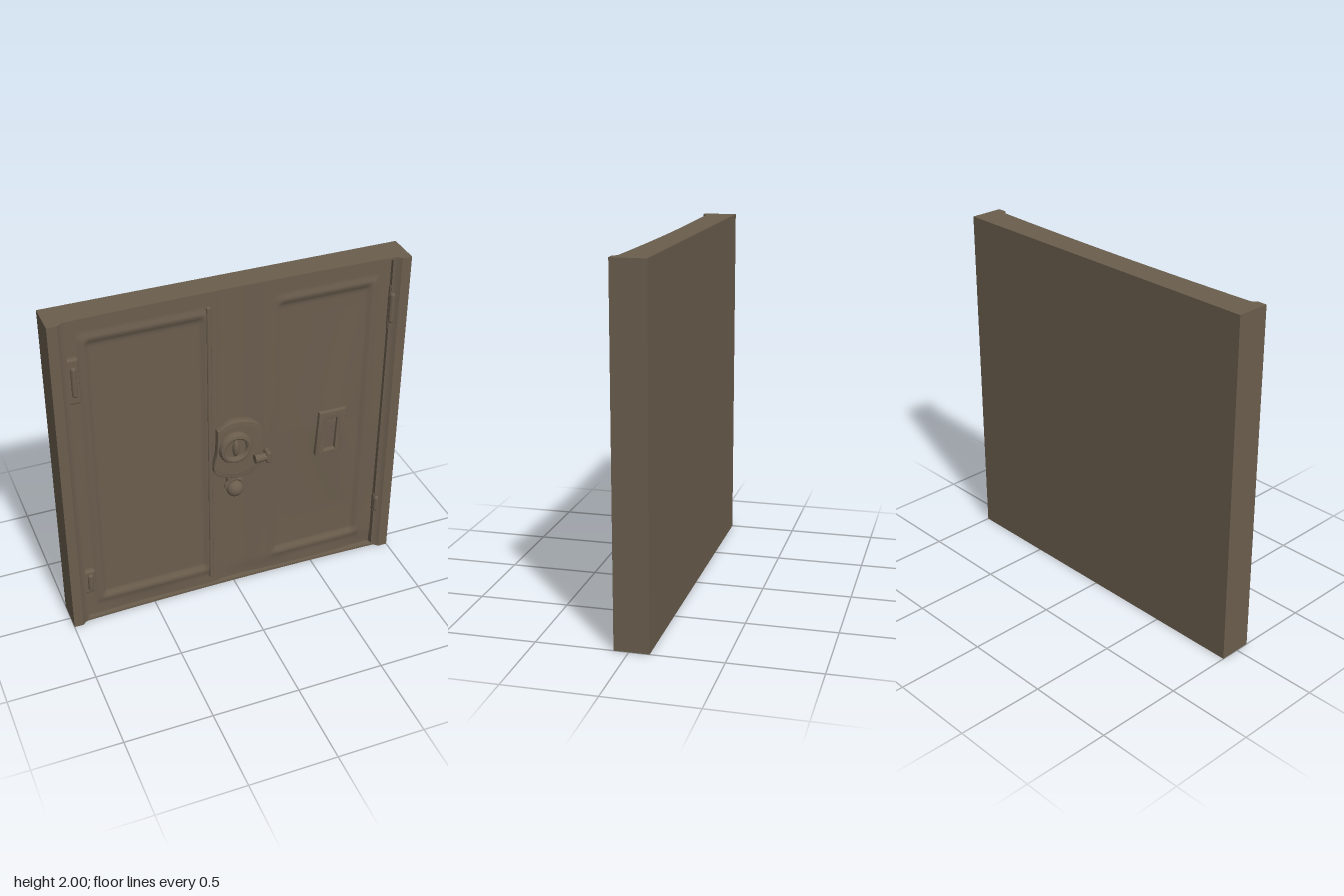
import * as THREE from 'three';
import { RoundedBoxGeometry } from 'three/addons/geometries/RoundedBoxGeometry.js';
import { toCreasedNormals } from 'three/addons/utils/BufferGeometryUtils.js';

const bronze = new THREE.MeshStandardMaterial({ color: 0x6a5d4d });
bronze.name = 'dull bronze';

const V = (x, y) => new THREE.Vector2(x, y);
const step = THREE.MathUtils.smoothstep;

// 1 inside a rectangle, 0 outside, with soft edges of width e
const inside = (x, y, x0, x1, y0, y1, e) =>
  step(x, x0, x0 + e) * (1 - step(x, x1 - e, x1)) * step(y, y0, y0 + e) * (1 - step(y, y1 - e, y1));

// Raised moulding with a sunken panel inside it
const moulding = (x, y, x0, x1, y0, y1) =>
  0.009 * inside(x, y, x0 - 0.04, x1 + 0.04, y0 - 0.04, y1 + 0.04, 0.03) -
  0.017 * inside(x, y, x0, x1, y0, y1, 0.03);

// Height of the door leaves
function relief(x, y) {
  let z = 0.028;
  if (x < -0.125) {
    z += moulding(x, y, -0.81, -0.155, 0.13, 1.86);
  } else {
    // centre strip, then a slope up to the other leaf
    z += -0.012 + 0.02 * step(x, 0.04, 0.2) * (0.6 + 0.4 * step(y, 0.1, 1.2));
    z += 0.008 * (1 - step(x, -0.1, -0.07));
    if (x > 0.2) z += moulding(x, y, 0.24, 0.8, 0.13, 1.86) * step(x, 0.2, 0.3);
    // swelling that tapers above and below the pull
    const up = y > 1.0 ? 1 - (y - 1.0) / 0.75 : 1 - (1.0 - y) / 0.62;
    if (up > 0) {
      const ridge = y > 1.0 ? 0.62 + 0.1 * (1 - up) : 0.62 + 0.09 * (1 - up);
      const d = x - ridge;
      z += 0.02 * up * Math.max(0, 1 - Math.abs(d) / (d < 0 ? 0.36 : 0.13));
    }
  }
  // soft dents along the foot
  z -= 0.008 * (1 - step(y, 0.02, 0.12)) * (0.5 + 0.5 * Math.sin(x * 9));
  return z;
}

function reliefGeometry() {
  const g = new THREE.PlaneGeometry(1.86, 1.97, 150, 110);
  g.translate(0, 1, 0);
  const p = g.attributes.position;
  for (let i = 0; i < p.count; i++) p.setZ(i, relief(p.getX(i), p.getY(i)));
  g.computeVertexNormals();
  return g;
}

export function createModel() {
  const group = new THREE.Group();
  const add = (name, geo, x = 0, y = 0, z = 0) => {
    const m = new THREE.Mesh(geo, bronze);
    m.name = name;
    m.position.set(x, y, z);
    group.add(m);
    return m;
  };
  const extrude = (shape, depth, bevel = 0) => toCreasedNormals(new THREE.ExtrudeGeometry(shape, {
    depth, curveSegments: 16, bevelEnabled: bevel > 0, bevelSize: bevel, bevelThickness: bevel, bevelSegments: 3,
  }), 0.6);

  // Back slab and door leaves
  add('backSlab', new THREE.BoxGeometry(2, 2, 0.11), 0, 1, -0.055);
  add('doorLeaves', reliefGeometry());

  // Side posts with a chamfered inner edge
  for (const s of [-1, 1]) {
    const pts = [V(1, 0.105), V(1, -0.08), V(0.945, -0.08), V(0.925, -0.06), V(0.905, -0.055), V(0.9, 0), V(0.9, 0.105)]
      .map((p) => V(p.x * s, p.y));
    add(s < 0 ? 'rightPost' : 'leftPost', extrude(new THREE.Shape(pts), 2).rotateX(-Math.PI / 2));
  }

  // Top and bottom rails, bowed inward at the front
  const bow = new THREE.Shape();
  bow.moveTo(-0.95, 0.1);
  bow.lineTo(-0.95, -0.058);
  bow.quadraticCurveTo(0, -0.024, 0.95, -0.058);
  bow.lineTo(0.95, 0.1);
  for (const [name, y] of [['bottomRail', 0], ['topRail', 1.986]])
    add(name, extrude(bow, 0.014).rotateX(-Math.PI / 2), 0, y);

  // Hinges: a leaf and a rounded barrel
  for (const [x, y, w, h] of [[-0.885, 1.64, 0.08, 0.27], [-0.885, 0.285, 0.08, 0.16], [0.92, 1.69, 0.04, 0.28], [0.92, 0.33, 0.04, 0.14]]) {
    add('hingeLeaf', new RoundedBoxGeometry(w, h, 0.04, 3, 0.012), x, y, 0.035);
    add('hingeBarrel', new THREE.CapsuleGeometry(0.016, h * 0.55, 4, 10), x - Math.sign(x) * w * 0.1, y, 0.055);
  }

  // Centre strip bead beside the seam
  add('seamBead', new RoundedBoxGeometry(0.025, 1.84, 0.03, 3, 0.01), -0.14, 0.99, 0.03);

  // Lock plate with a sunken face inside a raised rim
  const outline = (k) => new THREE.Shape(new THREE.SplineCurve([
    V(-0.11, 0.15), V(-0.03, 0.19), V(0.09, 0.17), V(0.15, 0.1), V(0.152, -0.1),
    V(0.1, -0.18), V(0, -0.195), V(-0.1, -0.165), V(-0.135, -0.11), V(-0.115, 0), V(-0.11, 0.15),
  ].map((p) => p.multiplyScalar(k))).getPoints(50).slice(0, -1));
  add('lockPlate', extrude(outline(0.97), 0.03), 0.01, 0.98, 0.02);
  const rim = outline(0.97);
  rim.holes.push(new THREE.Path(outline(0.85).getPoints()));
  add('lockRim', extrude(rim, 0.035, 0.006), 0.01, 0.98, 0.02);

  // Lock dial: turned ring with an oval turn piece
  const ring = [V(0.098, 0), V(0.098, 0.025), V(0.09, 0.038), V(0.075, 0.042), V(0.064, 0.036), V(0.06, 0.02), V(0, 0.02)];
  add('dialRing', toCreasedNormals(new THREE.LatheGeometry(ring, 40).rotateX(Math.PI / 2), 0.7), 0, 1, 0.047);
  const turn = add('turnPiece', new THREE.SphereGeometry(1, 20, 14), 0, 1, 0.066);
  turn.scale.set(0.02, 0.056, 0.024);

  // Side lever and its end cap
  const lever = add('lever', new THREE.CylinderGeometry(0.022, 0.026, 0.09, 16), 0.155, 0.9, 0.078);
  lever.rotation.z = -Math.PI / 2;
  add('leverCap', new RoundedBoxGeometry(0.03, 0.075, 0.06, 3, 0.012), 0.19, 0.9, 0.072);

  // Knob below the lock, with its small hood
  const knob = add('lowerKnob', new THREE.SphereGeometry(0.05, 24, 16), 0, 0.71, 0.055);
  knob.scale.z = 0.85;
  const hood = add('knobHood', new THREE.TorusGeometry(0.045, 0.012, 8, 20, Math.PI), 0, 0.725, 0.045);
  hood.scale.set(1.1, 1, 1);
  add('knobNeck', new RoundedBoxGeometry(0.07, 0.06, 0.03, 3, 0.01), -0.01, 0.78, 0.04);

  // Recessed pull: a frame around an open slot
  const pull = new THREE.Shape([V(-0.085, -0.14), V(0.065, -0.14), V(0.08, 0.14), V(-0.07, 0.14)]);
  pull.holes.push(new THREE.Path([V(-0.045, -0.125), V(0.035, -0.125), V(0.042, 0.1), V(-0.035, 0.1)]));
  add('pullFrame', extrude(pull, 0.035, 0.006), 0.585, 0.95, 0.022);

  return group;
}
